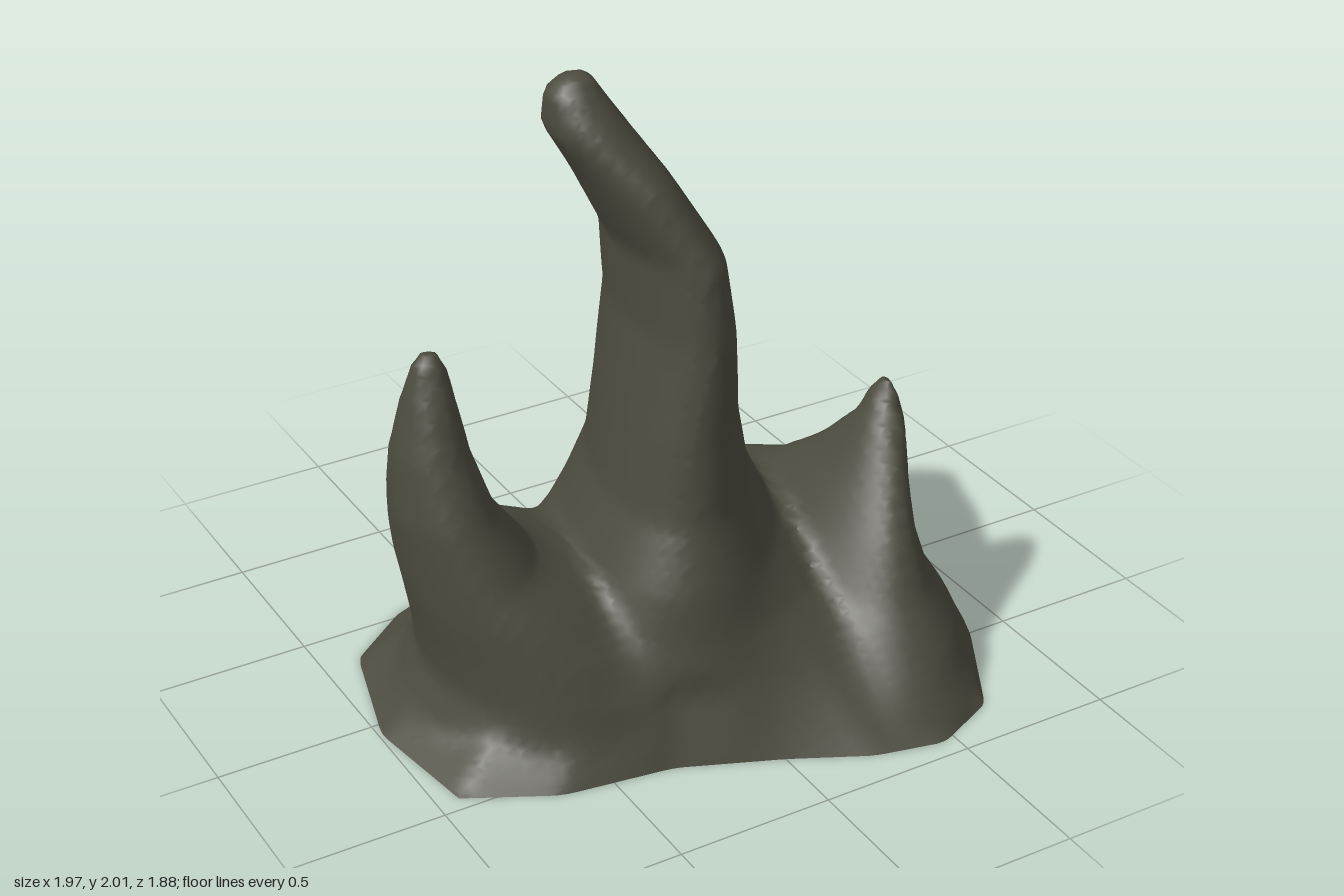
import * as THREE from 'three';

const rock = new THREE.MeshStandardMaterial({ color: 0x4c4b3f, side: THREE.DoubleSide });
rock.name = 'dark olive rock';

// Irregular ground outline as [x, z]
const outline = [
  [-0.99, 0.05], [-0.93, 0.45], [-0.66, 0.59], [-0.31, 0.64], [0, 0.77], [0.24, 0.89],
  [0.46, 0.94], [0.68, 0.84], [0.87, 0.5], [0.985, 0.08], [0.94, -0.29], [0.78, -0.6],
  [0.56, -0.85], [0.29, -0.95], [-0.03, -0.81], [-0.36, -0.61], [-0.66, -0.52], [-0.88, -0.35],
];

// Spires as oval sections [y, xMin, xMax, zMin, zMax, skew]; skew turns the oval diagonally
const mainSpire = [
  [0.5, -0.36, 0.38, -0.48, 0.56, -0.35],
  [0.7, -0.27, 0.28, -0.39, 0.49, -0.4],
  [0.95, -0.23, 0.2, -0.31, 0.465, -0.35],
  [1.25, -0.18, 0.135, -0.23, 0.45, -0.2],
  [1.48, -0.185, 0.08, -0.185, 0.42, -0.05],
  [1.7, -0.29, -0.045, -0.15, 0.31, 0],
  [1.85, -0.375, -0.14, -0.11, 0.19, 0],
  [1.95, -0.37, -0.205, -0.06, 0.115, 0],
  [2.005, -0.32, -0.24, -0.01, 0.07, 0],
];
const mediumSpire = [
  [0, -0.95, 0.1, -0.46, 0.57, 0],
  [0.09, -0.88, 0.1, -0.46, 0.56, -0.05],
  [0.2, -0.83, 0.05, -0.45, 0.54, -0.1],
  [0.32, -0.845, -0.05, -0.4, 0.49, -0.1],
  [0.46, -0.87, -0.27, -0.32, 0.41, -0.1],
  [0.56, -0.885, -0.48, -0.25, 0.34, -0.05],
  [0.74, -0.905, -0.61, -0.18, 0.26, 0],
  [0.93, -0.89, -0.67, -0.12, 0.18, 0],
  [1.1, -0.85, -0.7, -0.07, 0.12, 0],
  [1.2, -0.82, -0.72, -0.025, 0.075, 0],
  [1.25, -0.79, -0.75, 0.01, 0.05, 0],
];
const shortSpire = [
  [0, 0.05, 0.95, -0.62, 0.92, -0.1],
  [0.1, 0.1, 0.895, -0.58, 0.85, -0.1],
  [0.2, 0.15, 0.83, -0.52, 0.78, 0],
  [0.34, 0.26, 0.74, -0.41, 0.68, 0],
  [0.49, 0.37, 0.67, -0.1, 0.6, 0],
  [0.64, 0.46, 0.66, 0.1, 0.51, 0],
  [0.78, 0.535, 0.67, 0.23, 0.43, 0],
  [0.87, 0.585, 0.66, 0.265, 0.37, 0],
  [0.91, 0.61, 0.65, 0.29, 0.33, 0],
];

// How far the base spreads from the main spire's foot to the outline, as [y, spread]
const spread = [[0, 1], [0.09, 0.79], [0.2, 0.53], [0.36, 0.21], [0.5, 0]];

// Row of a table interpolated at height y
function rowAt(rows, y) {
  if (y <= rows[0][0]) return rows[0];
  const i = rows.findIndex((r) => r[0] >= y);
  if (i < 0) return rows[rows.length - 1];
  const a = rows[i - 1], b = rows[i];
  const t = (y - a[0]) / (b[0] - a[0]);
  return a.map((v, n) => v + (b[n] - v) * t);
}

// Signed distance, negative inside, from a spire
function spireDistance(rings, x, y, z) {
  const [, x0, x1, z0, z1, skew] = rowAt(rings, y);
  const dx = x - (x0 + x1) / 2, dz = z - (z0 + z1) / 2;
  const ex = dx * 2 / (x1 - x0), ez = dz * 2 / (z1 - z0);
  const n = Math.sqrt((ex * ex + ez * ez - 2 * skew * ex * ez) / (1 - skew * skew));
  const side = n < 1e-4 ? -(x1 - x0) / 2 : Math.hypot(dx, dz) * (1 - 1 / n);
  return Math.max(side, y - rings[rings.length - 1][0]);
}

// Signed distance from the outline, measured along the ray from the centre
function outlineDistance(x, z) {
  for (let i = 0; i < outline.length; i++) {
    const [ax, az] = outline[i], [bx, bz] = outline[(i + 1) % outline.length];
    const p = ax * z - az * x, q = x * bz - z * bx;
    if (p <= 0 && q <= 0) {
      const scale = (x * (bz - az) - z * (bx - ax)) / (ax * bz - az * bx);
      return Math.hypot(x, z) * (1 - 1 / Math.max(scale, 1e-4));
    }
  }
  return -1;
}

function smoothMin(a, b, k) {
  const h = Math.max(k - Math.abs(a - b), 0) / k;
  return Math.min(a, b) - h * h * k / 4;
}

// The whole rock: flared main spire with both side spires melted into it
function rockDistance(x, height, z) {
  const y = Math.max(height, 0);
  const edge = outlineDistance(x, z);
  let d = spireDistance(mainSpire, x, y, z);
  const k = rowAt(spread, y)[1];
  if (k > 0) d += (edge - d) * k;
  const blend = 0.07 * Math.min(1, y / 0.2) + 0.001;
  d = smoothMin(d, spireDistance(mediumSpire, x, y, z), blend);
  d = smoothMin(d, spireDistance(shortSpire, x, y, z), blend);
  return Math.max(d, edge + Math.min(y, 0.2) * 0.4);
}

// Skin over the zero level of a distance rule: one vertex per crossed cell, open at y = 0
function skin(distance, step) {
  const nx = Math.ceil(2.16 / step), ny = Math.ceil(2.1 / step) + 1;
  const at = (i, j, k) => [-1.08 + i * step, (j - 1) * step, -1.08 + k * step];
  const id = (i, j, k) => (i * ny + j) * nx + k;
  const field = new Float32Array(nx * ny * nx);
  const eachPoint = (count, fn) => {
    for (let i = 0; i < nx - count; i++)
      for (let j = 0; j < ny - count; j++)
        for (let k = 0; k < nx - count; k++) fn(i, j, k);
  };
  eachPoint(0, (i, j, k) => { field[id(i, j, k)] = distance(...at(i, j, k)); });

  const pos = [], index = [], vertex = new Map();
  const axes = [[1, 0, 0], [0, 1, 0], [0, 0, 1]];
  eachPoint(1, (i, j, k) => {
    const sum = [0, 0, 0];
    let hits = 0;
    for (let c = 0; c < 8; c++) {
      const p = [c & 1, (c >> 1) & 1, c >> 2];
      const a = field[id(i + p[0], j + p[1], k + p[2])];
      axes.forEach((e, n) => {
        if (p[n]) return;
        const b = field[id(i + p[0] + e[0], j + p[1] + e[1], k + p[2] + e[2])];
        if ((a < 0) === (b < 0)) return;
        const t = a / (a - b);
        for (let m = 0; m < 3; m++) sum[m] += p[m] + e[m] * t;
        hits++;
      });
    }
    if (!hits) return;
    const [x, y, z] = at(i + sum[0] / hits, j + sum[1] / hits, k + sum[2] / hits);
    vertex.set(id(i, j, k), pos.length / 3);
    pos.push(x, Math.max(y, 0), z);
  });

  // One quad across every crossed grid edge
  const stride = [ny * nx, nx, 1];
  eachPoint(1, (i, j, k) => {
    if (!i || !k) return;
    const here = id(i, j, k), a = field[here];
    for (let n = 0; n < 3; n++) {
      if (n !== 1 && j === 0) continue;
      const b = field[here + stride[n]];
      if ((a < 0) === (b < 0)) continue;
      const u = stride[(n + 1) % 3], v = stride[(n + 2) % 3];
      const [p, q, r, s] = [here, here - u, here - u - v, here - v].map((c) => vertex.get(c));
      if (a < 0) index.push(p, q, r, p, r, s);
      else index.push(p, r, q, p, s, r);
    }
  });

  const g = new THREE.BufferGeometry();
  g.setAttribute('position', new THREE.Float32BufferAttribute(pos, 3));
  g.setIndex(index);
  g.computeVertexNormals();
  return g;
}

export function createModel() {
  const group = new THREE.Group();
  group.name = 'rockSpires';
  const body = new THREE.Mesh(skin(rockDistance, 0.03), rock);
  body.name = 'rockBody';
  group.add(body);
  return group;
}
